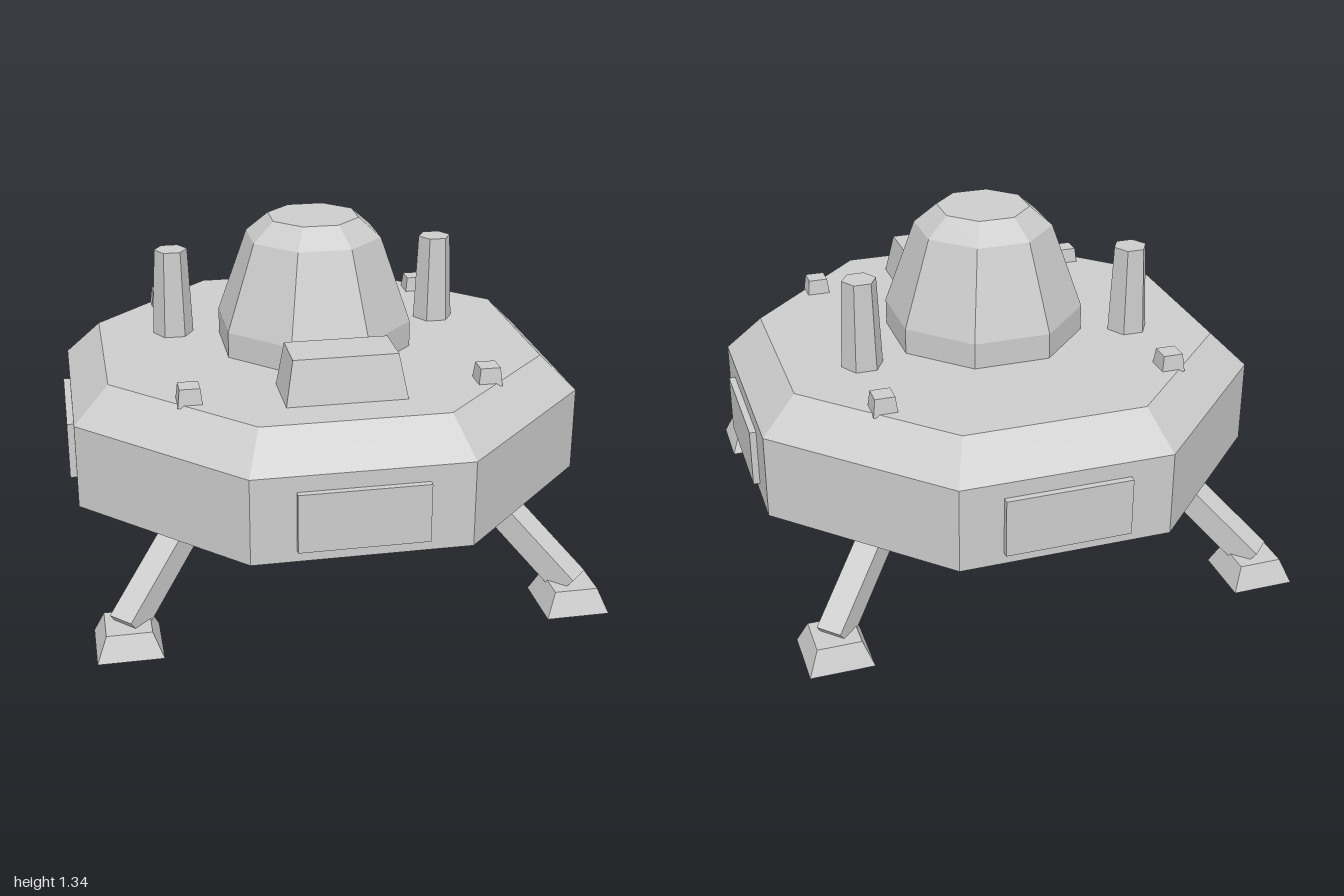
import * as THREE from 'three';

export function createModel() {
  const model = new THREE.Group();
  model.name = 'landerBase';
  const hullGrey = new THREE.MeshStandardMaterial({ color: 0xcccccc });
  hullGrey.name = 'hullGrey';

  // Adds a faceted mesh
  function add(name, geometry, x = 0, y = 0, z = 0, parent = model) {
    const flat = geometry.index ? geometry.toNonIndexed() : geometry;
    flat.computeVertexNormals();
    const mesh = new THREE.Mesh(flat, hullGrey);
    mesh.name = name;
    mesh.position.set(x, y, z);
    parent.add(mesh);
    return mesh;
  }

  // Octagonal solid from [apothem, y] pairs, with flat sides facing the axes
  function octagon(profile) {
    const k = 1 / Math.cos(Math.PI / 8);
    const points = profile.map(([r, y]) => new THREE.Vector2(r * k, y));
    return new THREE.LatheGeometry(points, 8, Math.PI / 8);
  }

  // Box standing on y = 0 whose top shrinks in x and z and may shift in z
  function taperedBox(w, h, d, topW, topD, shiftZ = 0) {
    const g = new THREE.BoxGeometry(w, h, d).translate(0, h / 2, 0);
    const p = g.attributes.position;
    for (let i = 0; i < p.count; i++) {
      if (p.getY(i) < h / 2) continue;
      p.setX(i, p.getX(i) * topW / w);
      p.setZ(i, p.getZ(i) * topD / d + shiftZ);
    }
    return g;
  }

  // Hull and dome
  add('hull', octagon([[0, 0.26], [0.78, 0.26], [0.975, 0.355], [0.975, 0.685], [0.84, 0.82], [0, 0.82]]));
  add('dome', octagon([[0, 0.81], [0.362, 0.81], [0.362, 0.922], [0.25, 1.26], [0.168, 1.335], [0, 1.335]]));

  // Deck console ahead of the dome
  add('console', taperedBox(0.454, 0.175, 0.238, 0.39, 0.19, -0.016), 0, 0.81, 0.573);

  // Hexagonal stacks
  for (const s of [1, -1]) {
    add('stack', new THREE.CylinderGeometry(0.066, 0.082, 0.36, 6, 1, false, Math.PI / 2), s * 0.545, 0.99, -0.187);
  }

  // Panels on the four main walls
  for (let i = 0; i < 4; i++) {
    const side = new THREE.Group();
    side.name = 'wallPanel';
    side.rotation.y = i * Math.PI / 2;
    add('panel', new THREE.BoxGeometry(0.478, 0.224, 0.06), 0, 0.512, 0.97, side);
    model.add(side);
  }

  // Deck blocks, slanted struts and foot pads at the four corners
  for (const sx of [1, -1]) {
    for (const sz of [1, -1]) {
      add('deckBlock', taperedBox(0.092, 0.07, 0.092, 0.076, 0.076), sx * 0.56, 0.81, sz * 0.56);
      add('footPad', taperedBox(0.238, 0.09, 0.238, 0.164, 0.164), sx * 0.832, 0, sz * 0.832);

      const leg = new THREE.Group();
      leg.name = 'leg';
      leg.rotation.y = Math.atan2(sx, sz);
      const strut = add('strut', new THREE.BoxGeometry(0.1, 0.1, 0.56).translate(0, 0, -0.28), 0, 0.08, 1.185, leg);
      strut.rotation.x = Math.atan2(0.605, 0.796);
      model.add(leg);
    }
  }
  return model;
}
